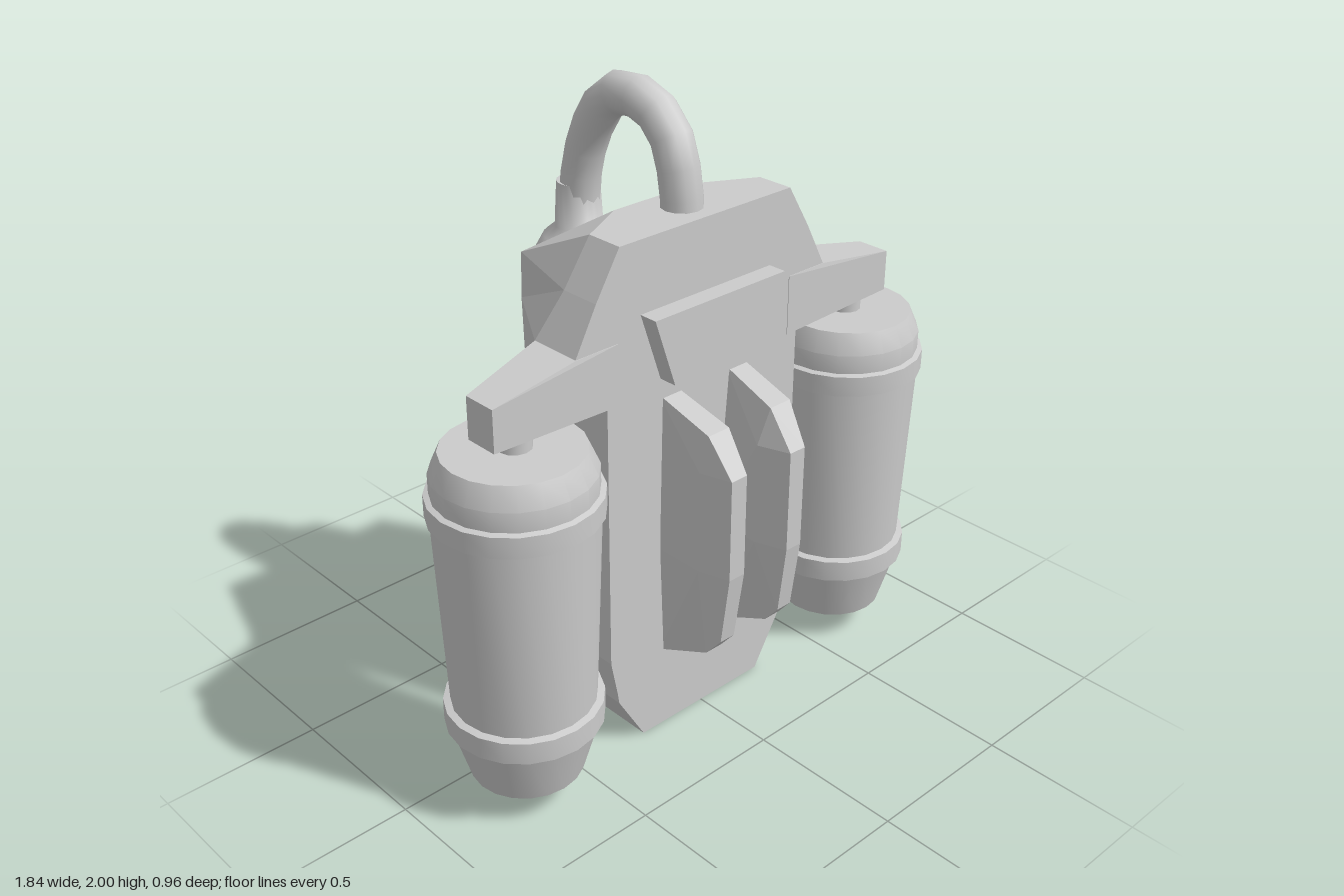
import * as THREE from 'three';
import { toCreasedNormals } from 'three/addons/utils/BufferGeometryUtils.js';
import { ConvexGeometry } from 'three/addons/geometries/ConvexGeometry.js';

const flat = new THREE.MeshStandardMaterial({ color: 0xcccccc, flatShading: true });
const smooth = new THREE.MeshStandardMaterial({ color: 0xcccccc });
const v2 = (p) => new THREE.Vector2(p[0], p[1]);
const v3 = (p) => new THREE.Vector3(p[0], p[1], p[2]);

function add(parent, name, geometry, material = flat) {
  const mesh = new THREE.Mesh(geometry, material);
  mesh.name = name;
  parent.add(mesh);
  return mesh;
}

// Faceted convex solid from corner points, mirrored in x when side is -1
function hull(points, side = 1) {
  return new ConvexGeometry(points.map(([x, y, z]) => new THREE.Vector3(x * side, y, z)));
}

// Turned part with sharp edges kept
function turned(profile, segments, crease = 0.5) {
  return toCreasedNormals(new THREE.LatheGeometry(profile.map(v2), segments), crease);
}

// Pack body: six-sided sections stacked in y
function bodyGeometry() {
  // y, side half width, side rear z, back half width, back z
  const levels = [
    [0, 0.25, 0.06, 0.25, -0.04],
    [0.17, 0.35, 0.03, 0.3, -0.17],
    [0.21, 0.356, 0.02, 0.305, -0.2],
    [0.33, 0.38, 0, 0.31, -0.2],
    [0.94, 0.38, 0, 0.31, -0.2],
    [1.19, 0.38, 0.05, 0.33, -0.2],
    [1.38, 0.49, 0.05, 0.335, -0.2],
    [1.52, 0.415, 0.09, 0.33, -0.2],
    [1.66, 0.33, 0.1, 0.16, 0.01],
  ];
  const position = [];
  const index = [];
  levels.forEach(([y, w, zm, wb, zb]) => {
    position.push(w, y, 0.22, w, y, zm, wb, y, zb, -wb, y, zb, -w, y, zm, -w, y, 0.22);
  });
  for (let i = 0; i < levels.length - 1; i++) {
    for (let j = 0; j < 6; j++) {
      const a = i * 6 + j, b = i * 6 + ((j + 1) % 6);
      index.push(a, b, b + 6, a, b + 6, a + 6);
    }
  }
  const top = (levels.length - 1) * 6;
  for (let j = 1; j < 5; j++) {
    index.push(0, j + 1, j, top, top + j, top + j + 1);
  }
  const g = new THREE.BufferGeometry();
  g.setAttribute('position', new THREE.Float32BufferAttribute(position, 3));
  g.setIndex(index);
  const out = g.toNonIndexed();
  out.computeVertexNormals();
  return out;
}

// Hanging canister with two bands and a tapered nozzle
const canisterProfile = [
  [0, 0.1], [0.17, 0.1], [0.222, 0.28], [0.235, 0.28], [0.235, 0.35], [0.214, 0.355],
  [0.238, 0.97], [0.25, 0.97], [0.25, 1.035], [0.234, 1.04], [0.234, 1.1],
  [0.205, 1.165], [0, 1.165],
];

// Rear tank with rounded ends
const tankProfile = [
  [0, 0.455], [0.06, 0.46], [0.11, 0.485], [0.137, 0.53], [0.145, 0.6],
  [0.145, 1.33], [0.137, 1.4], [0.11, 1.45], [0.074, 1.48], [0.066, 1.62], [0, 1.62],
];

// Blade ridge on the front: inner x, outer x, y, z
const bladeSections = [
  [0.1, 0.17, 1.16, 0.2], [0.085, 0.165, 1.1, 0.4], [0.09, 0.15, 0.98, 0.48],
  [0.09, 0.15, 0.65, 0.48], [0.095, 0.15, 0.42, 0.45], [0.095, 0.16, 0.36, 0.4],
  [0.055, 0.18, 0.98, 0.38], [0.055, 0.18, 0.65, 0.38], [0.09, 0.165, 0.27, 0.2],
  [0.06, 0.18, 0.65, 0.2],
];

export function createModel() {
  const model = new THREE.Group();
  model.name = 'backPack';

  add(model, 'body', bodyGeometry());

  // Raised plate on the chest
  const plate = new THREE.Shape([[-0.18, 1.22], [0.18, 1.22], [0.255, 1.44], [-0.255, 1.44]].map(v2));
  add(model, 'frontPlate', new THREE.ExtrudeGeometry(plate, { depth: 0.08, bevelEnabled: false }))
    .position.z = 0.2;

  for (const side of [1, -1]) {
    const half = new THREE.Group();
    half.name = side > 0 ? 'leftSide' : 'rightSide';
    model.add(half);

    // Shoulder arm tapering towards its tip
    add(half, 'shoulderArm', hull([
      [0.34, 1.19, 0.05], [0.34, 1.19, 0.222], [0.49, 1.38, 0.05], [0.49, 1.38, 0.222],
      [0.34, 1.38, 0.05], [0.34, 1.38, 0.222],
      [0.78, 1.21, 0.12], [0.78, 1.21, 0.23], [0.78, 1.34, 0.12], [0.78, 1.34, 0.23],
    ], side));

    // Canister and the short stem it hangs from
    add(half, 'canister', turned(canisterProfile, 20), smooth).position.set(side * 0.67, 0, 0.168);
    add(half, 'canisterStem', toCreasedNormals(new THREE.CylinderGeometry(0.05, 0.05, 0.1, 12), 0.8), smooth)
      .position.set(side * 0.665, 1.19, 0.168);

    // Front blade
    const corners = bladeSections.flatMap(([a, b, y, z]) => [[a, y, z], [b, y, z]]);
    add(half, 'frontBlade', hull(corners, side));

    // Rear side fin, splayed outwards and back
    const fin = new THREE.Shape([[-0.03, 0.42], [0.17, 0.42], [0.17, 0.58], [0.12, 0.62],
      [0.06, 0.82], [0.03, 0.95], [-0.03, 1.0]].map(v2));
    const finGeometry = new THREE.ExtrudeGeometry(fin, { depth: 0.13, bevelEnabled: false });
    finGeometry.translate(0, 0, -0.065);
    const finMesh = add(half, 'sideFin', finGeometry);
    finMesh.position.set(side * 0.32, 0, -0.155);
    finMesh.rotation.y = side > 0 ? 0.33 : Math.PI - 0.33;
  }

  // Rear tank and the hose looping over to the body
  add(model, 'rearTank', turned(tankProfile, 20, 1), smooth).position.z = -0.333;
  const path = new THREE.CatmullRomCurve3([
    [0, 1.6, 0.115], [0, 1.7, 0.112], [0, 1.85, 0.07], [0, 1.925, -0.02],
    [0, 1.925, -0.16], [0, 1.81, -0.26], [0, 1.66, -0.315], [0, 1.48, -0.333],
  ].map(v3));
  add(model, 'hose', new THREE.TubeGeometry(path, 12, 0.063, 12, false), smooth);

  return model;
}
